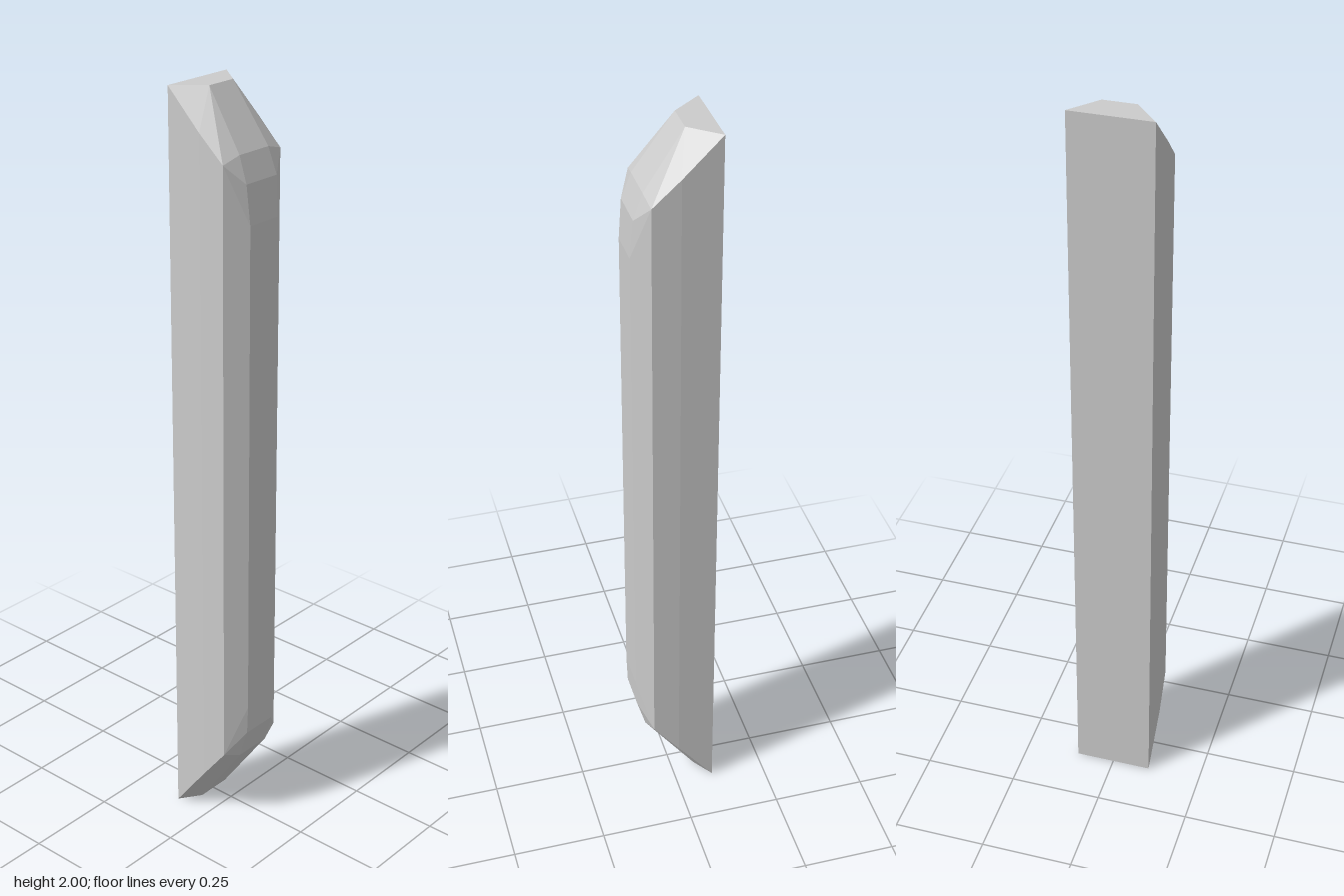
import * as THREE from 'three';
import { ConvexGeometry } from 'three/addons/geometries/ConvexGeometry.js';

export function createModel() {
  const group = new THREE.Group();
  group.name = 'bevelledBar';

  // Corner points of one half, mirrored in x; the bar is a convex faceted solid
  const half = [
    // flat back
    [0.104, 0, -0.104], [0.104, 2, -0.104],
    // slightly bulging side
    [0.107, 0.13, -0.005], [0.107, 1.905, -0.005],
    // side-to-front corner
    [0.104, 0.22, 0.065], [0.104, 1.84, 0.065],
    // front face, with two-step bevels towards both ends
    [0.048, 0, -0.065], [0.052, 0.2, 0.077], [0.05, 0.28, 0.1],
    [0.05, 0.36, 0.103], [0.05, 1.69, 0.103], [0.055, 1.79, 0.095],
    [0.052, 1.855, 0.071], [0.042, 2, -0.03],
  ];
  const points = half.flatMap(([x, y, z]) => [
    new THREE.Vector3(x, y, z),
    new THREE.Vector3(-x, y, z),
  ]);

  const bar = new THREE.Mesh(
    new ConvexGeometry(points),
    new THREE.MeshStandardMaterial({ color: 0xcccccc, flatShading: true })
  );
  bar.name = 'bar';
  group.add(bar);
  return group;
}
